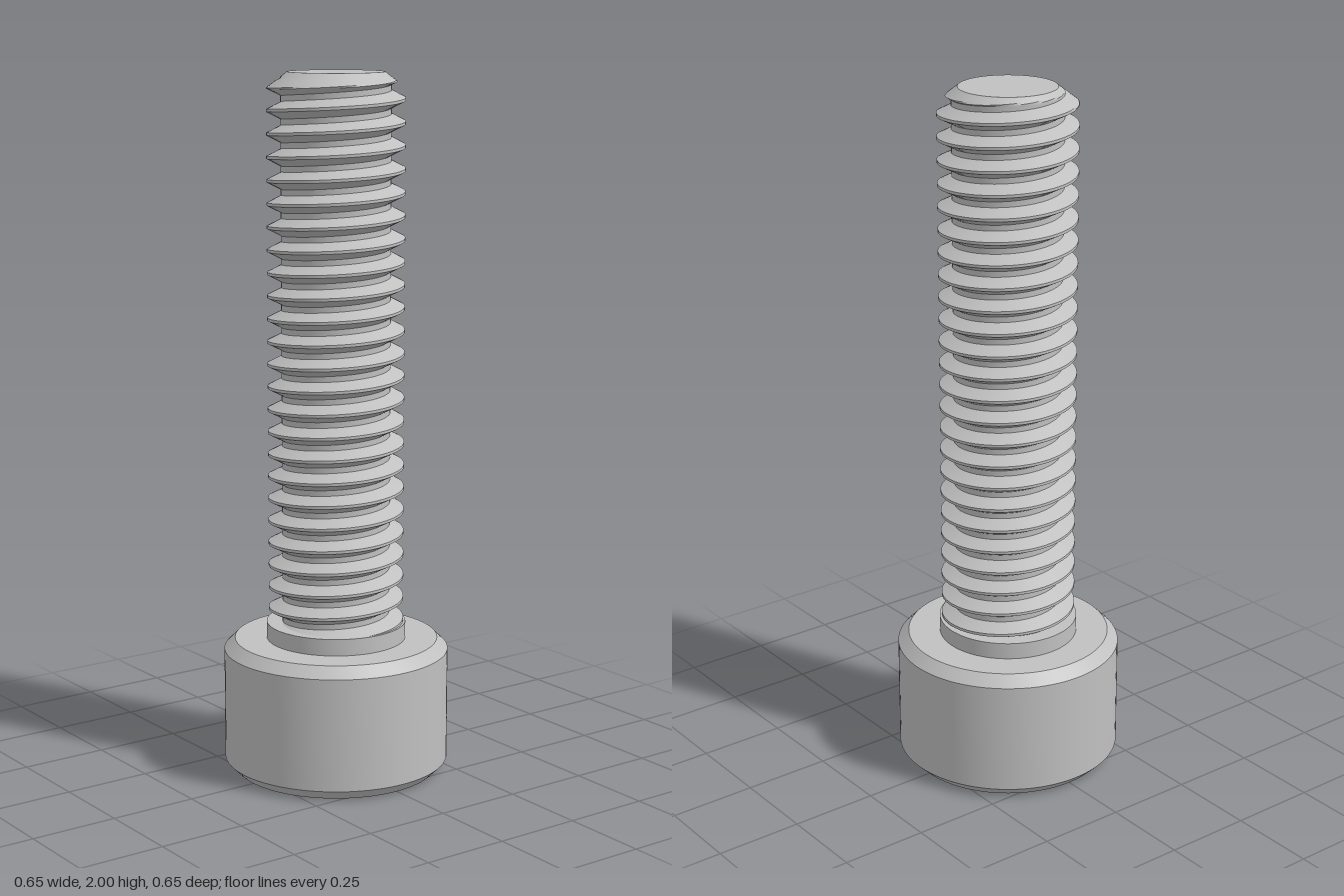
import * as THREE from 'three';
import { toCreasedNormals } from 'three/addons/utils/BufferGeometryUtils.js';

const HEAD_R = 0.3226, HEAD_H = 0.387, CHAMFER = 0.031;
const COLLAR_R = 0.2, COLLAR_TOP = 0.435, TOP = 2;
const CREST_R = 0.1935, ROOT_R = 0.154, TIP_R = 0.136, PITCH = 0.0645;
const SOCKET_FLAT = 0.161, SOCKET_R = 0.186, SOCKET_DEPTH = 0.2;

// Closed surface around the y axis; ring(turn, row) gives [radius, y].
function ringSurface(rows, segments, ring) {
  const positions = [], index = [];
  for (let j = 0; j < rows; j++) {
    for (let i = 0; i <= segments; i++) {
      const turn = i / segments, angle = turn * Math.PI * 2;
      const [r, y] = ring(turn, j);
      positions.push(r * Math.cos(angle), y, -r * Math.sin(angle));
    }
  }
  const point = (n) => new THREE.Vector3().fromArray(positions, n * 3);
  const addFace = (a, b, c) => {
    const area = point(b).sub(point(a)).cross(point(c).sub(point(a))).length();
    if (area > 1e-9) index.push(a, b, c);
  };
  for (let j = 0; j < rows - 1; j++) {
    for (let i = 0; i < segments; i++) {
      const a = j * (segments + 1) + i, d = a + segments + 1;
      addFace(a, a + 1, d + 1);
      addFace(a, d + 1, d);
    }
  }
  const geometry = new THREE.BufferGeometry();
  geometry.setAttribute('position', new THREE.Float32BufferAttribute(positions, 3));
  geometry.setIndex(index);
  return toCreasedNormals(geometry, 0.45);
}

// Right-hand V thread, trimmed by the collar below and the tip chamfer above
function threadGeometry() {
  const start = 1.916 - 24 * PITCH, steps = 16, rows = 26 * steps + 2;
  return ringSurface(rows, 64, (turn, j) => {
    if (j === rows - 1) return [0, TOP];
    const y = THREE.MathUtils.clamp(start + PITCH * (turn + j / steps), COLLAR_TOP - 0.002, TOP);
    const phase = (y - start) / PITCH - turn;
    const fromCrest = Math.abs(phase - Math.round(phase));
    const flank = THREE.MathUtils.clamp((fromCrest - 1 / 16) / (5 / 16), 0, 1);
    const thread = THREE.MathUtils.lerp(CREST_R, ROOT_R, flank);
    const chamfer = TIP_R + (TOP - y) * 1.3;
    return [Math.min(thread, chamfer), y];
  });
}

// Hexagonal recess with a countersunk rim and corners on the z axis
function socketGeometry() {
  return ringSurface(4, 96, (turn, j) => {
    const sector = (turn * 6) % 1 - 0.5;
    const sideR = SOCKET_FLAT / Math.cos(Math.abs(Math.abs(sector) - 0.5) * Math.PI / 3);
    return [
      [0, SOCKET_DEPTH],
      [sideR, SOCKET_DEPTH],
      [sideR, (SOCKET_R - sideR) * 0.6],
      [SOCKET_R, 0],
    ][j];
  });
}

// Chamfered head and the plain collar under the thread
function headGeometry() {
  const profile = [
    [SOCKET_R, 0], [HEAD_R - CHAMFER, 0], [HEAD_R, CHAMFER],
    [HEAD_R, HEAD_H - CHAMFER], [HEAD_R - CHAMFER, HEAD_H],
    [COLLAR_R, HEAD_H], [COLLAR_R, COLLAR_TOP], [0.14, COLLAR_TOP],
  ].map(([r, y]) => new THREE.Vector2(r, y));
  return toCreasedNormals(new THREE.LatheGeometry(profile, 96), 0.45);
}

export function createModel() {
  const steel = new THREE.MeshStandardMaterial({ color: 0xc0c0c0 });
  steel.name = 'steel grey';
  const group = new THREE.Group();
  group.name = 'socketHeadScrew';
  const parts = {
    headAndCollar: headGeometry(),
    hexSocket: socketGeometry(),
    threadedShank: threadGeometry(),
  };
  for (const [name, geometry] of Object.entries(parts)) {
    const mesh = new THREE.Mesh(geometry, steel);
    mesh.name = name;
    group.add(mesh);
  }
  return group;
}
